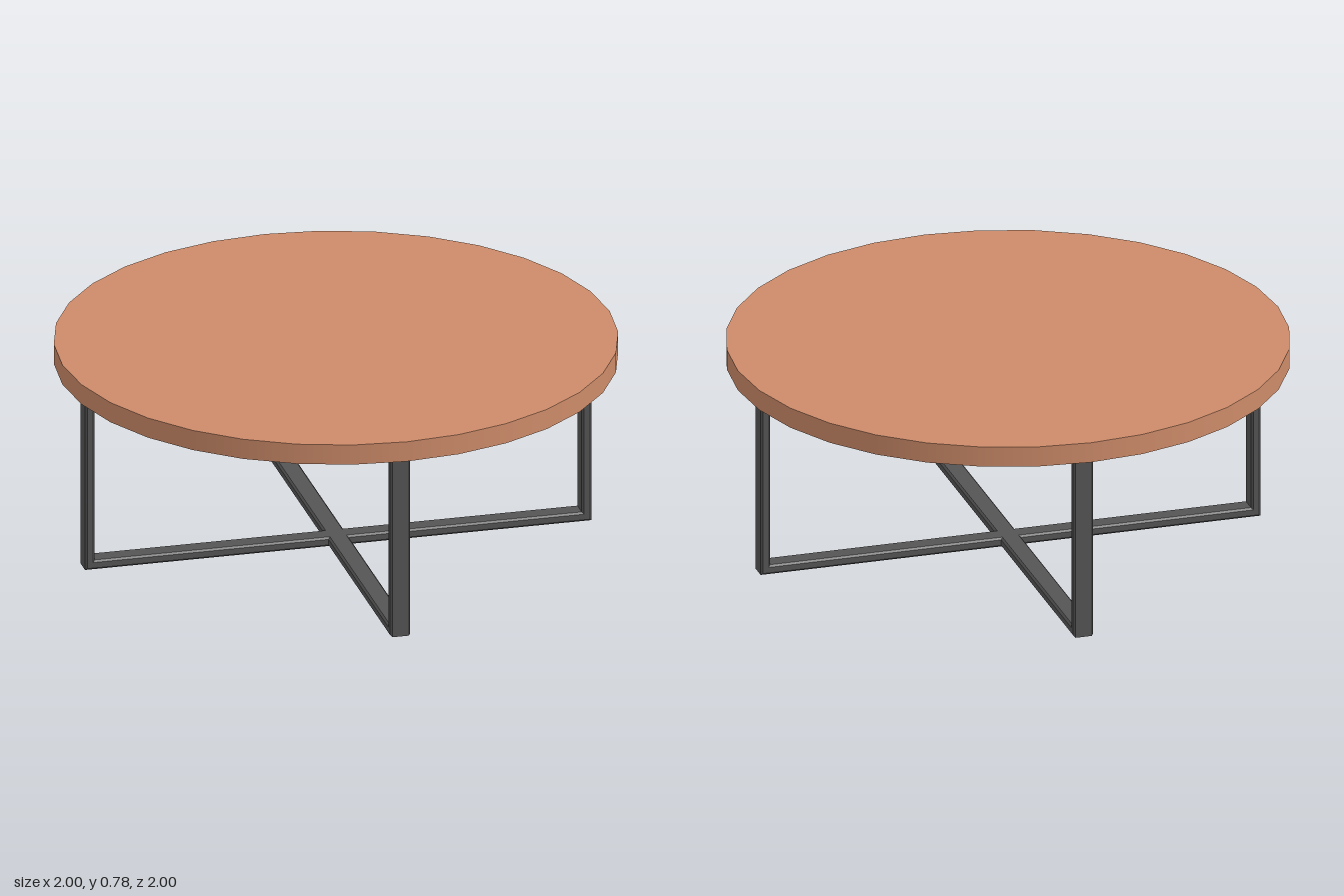
import * as THREE from 'three';

const TOP_Y = 0.78, FRAME_H = 0.705, BAR = 0.035, DEPTH = 0.074, BEVEL = 0.007;

// Upright rectangular hoop of bevelled bar, centred on x = 0 and z = 0
function hoop(halfWidth, material, name) {
  const shape = new THREE.Shape([
    new THREE.Vector2(-halfWidth, 0), new THREE.Vector2(halfWidth, 0),
    new THREE.Vector2(halfWidth, FRAME_H), new THREE.Vector2(-halfWidth, FRAME_H),
  ]);
  const w = halfWidth - BAR, lo = BAR, hi = FRAME_H - BAR;
  shape.holes.push(new THREE.Path([
    new THREE.Vector2(-w, lo), new THREE.Vector2(-w, hi),
    new THREE.Vector2(w, hi), new THREE.Vector2(w, lo),
  ]));
  const geometry = new THREE.ExtrudeGeometry(shape, {
    depth: DEPTH - 2 * BEVEL, bevelEnabled: true, bevelSize: BEVEL,
    bevelThickness: BEVEL, bevelOffset: -BEVEL, bevelSegments: 1,
  });
  geometry.translate(0, 0, BEVEL - DEPTH / 2);
  const mesh = new THREE.Mesh(geometry, material);
  mesh.name = name;
  return mesh;
}

export function createModel() {
  const wood = new THREE.MeshStandardMaterial({ color: 0xcd8b69 });
  wood.name = 'warm wood';
  const metal = new THREE.MeshStandardMaterial({ color: 0x555555 });
  metal.name = 'dark metal';

  const table = new THREE.Group();
  table.name = 'roundTable';

  // Round top with visible facets in its outline
  const thickness = TOP_Y - FRAME_H;
  const top = new THREE.Mesh(new THREE.CylinderGeometry(1, 1, thickness, 32), wood);
  top.position.y = TOP_Y - thickness / 2;
  top.name = 'tableTop';

  // Mounting disc under the centre of the top
  const disc = new THREE.Mesh(new THREE.CylinderGeometry(0.16, 0.16, 0.012, 16), metal);
  disc.position.y = FRAME_H - 0.006;
  disc.name = 'mountingDisc';

  // Two hoops crossing at right angles
  const sideHoop = hoop(0.925, metal, 'sideToSideFrame');
  const depthHoop = hoop(0.91, metal, 'frontToBackFrame');
  depthHoop.rotation.y = Math.PI / 2;

  table.add(top, disc, sideHoop, depthHoop);
  return table;
}
